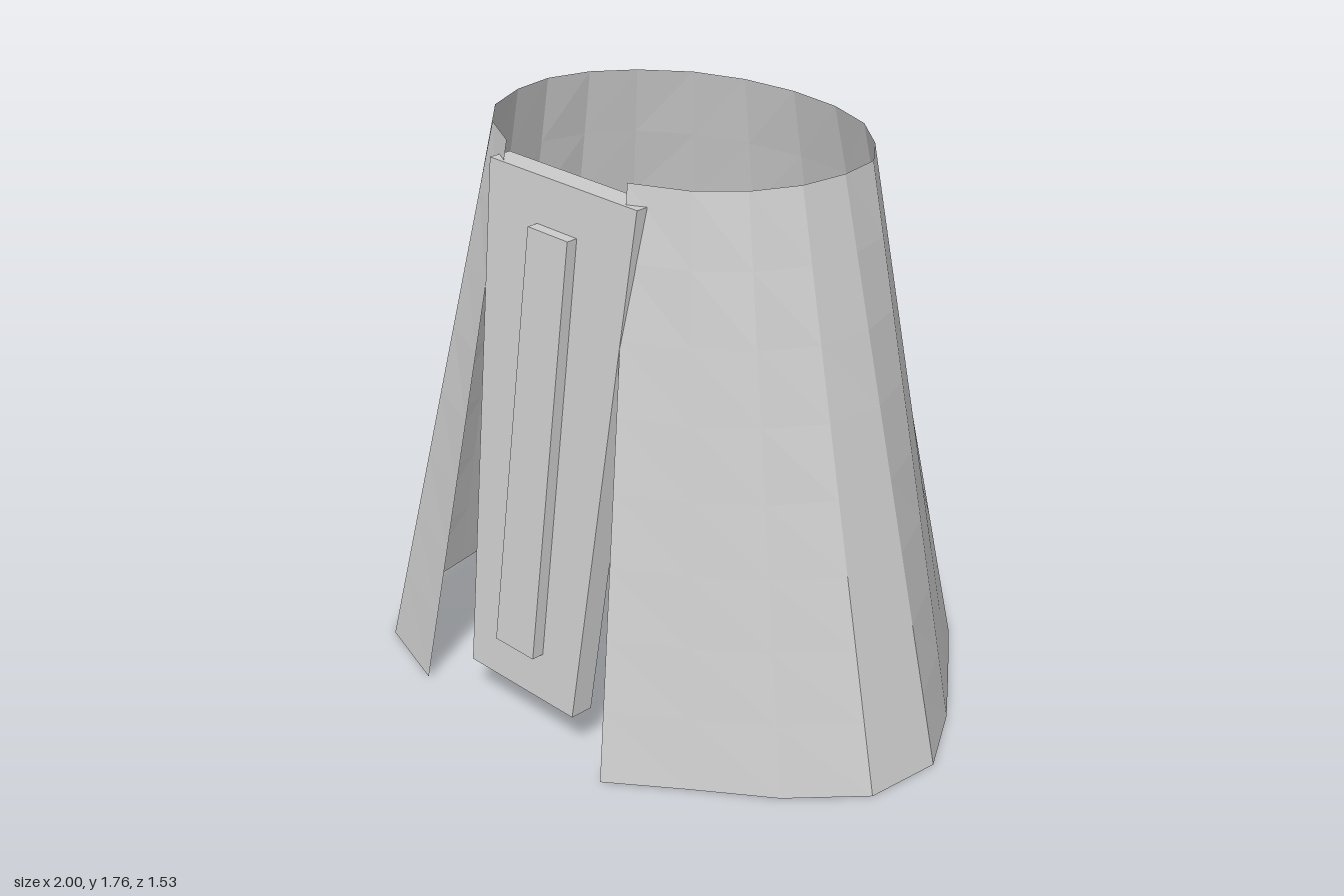
import * as THREE from 'three';

const HEIGHT = 1.76;
const ROWS = 8;

// Outline of the skirt from the left edge of the front opening, round the back, to the right edge: [x, z]
const HEM = [
  [0.37, 0.76], [0.58, 0.6], [0.8, 0.44], [0.98, 0.24], [1, -0.01], [0.86, -0.24], [0.7, -0.44],
  [0.54, -0.635], [0.28, -0.77], [-0.03, -0.76], [-0.3, -0.68], [-0.59, -0.605], [-0.86, -0.48],
  [-1, -0.25], [-0.99, 0], [-0.95, 0.21], [-0.9, 0.46], [-0.73, 0.67], [-0.44, 0.76],
];
const WAIST = [
  [0.22, 0.48], [0.39, 0.4], [0.5, 0.29], [0.57, 0.15], [0.59, 0], [0.57, -0.14], [0.47, -0.26],
  [0.33, -0.37], [0.16, -0.43], [-0.03, -0.45], [-0.22, -0.43], [-0.39, -0.37], [-0.53, -0.26],
  [-0.62, -0.14], [-0.66, 0], [-0.64, 0.14], [-0.57, 0.29], [-0.45, 0.4], [-0.29, 0.48],
];

// Open sheet lofted between hem and waist
function skirtGeometry() {
  const positions = [], index = [], n = HEM.length;
  for (let r = 0; r <= ROWS; r++) {
    const t = r / ROWS;
    for (let i = 0; i < n; i++) {
      positions.push(
        THREE.MathUtils.lerp(HEM[i][0], WAIST[i][0], t),
        HEIGHT * t,
        THREE.MathUtils.lerp(HEM[i][1], WAIST[i][1], t));
    }
  }
  for (let r = 0; r < ROWS; r++) {
    for (let i = 0; i < n - 1; i++) {
      const a = r * n + i, b = a + 1, c = a + n, d = c + 1;
      index.push(a, c, b, b, c, d);
    }
  }
  const indexed = new THREE.BufferGeometry();
  indexed.setAttribute('position', new THREE.Float32BufferAttribute(positions, 3));
  indexed.setIndex(index);
  const g = indexed.toNonIndexed();
  g.computeVertexNormals();
  return g;
}

// Leaning, tapered slab; each end gives y, x range, and front z
function slabGeometry(bottom, top, depth) {
  const g = new THREE.BoxGeometry(1, 1, 1);
  const p = g.attributes.position;
  for (let i = 0; i < p.count; i++) {
    const end = p.getY(i) > 0 ? top : bottom;
    p.setXYZ(i,
      p.getX(i) > 0 ? end.x[1] : end.x[0],
      end.y,
      p.getZ(i) > 0 ? end.z : end.z - depth);
  }
  g.computeVertexNormals();
  return g;
}

export function createModel() {
  const model = new THREE.Group();
  model.name = 'skirt';
  const cloth = new THREE.MeshStandardMaterial({ color: 0xcccccc, side: THREE.DoubleSide, flatShading: true });
  cloth.name = 'light grey cloth';

  const add = (name, geometry) => {
    const mesh = new THREE.Mesh(geometry, cloth);
    mesh.name = name;
    model.add(mesh);
  };

  add('skirtShell', skirtGeometry());

  // Hanging panel over the front opening
  add('frontPanel', slabGeometry(
    { y: 0.125, x: [-0.265, 0.2], z: 0.715 },
    { y: 1.7, x: [-0.345, 0.28], z: 0.5 }, 0.075));

  // Raised strip down the middle of the panel
  add('panelStrip', slabGeometry(
    { y: 0.27, x: [-0.12, 0.05], z: 0.735 },
    { y: 1.56, x: [-0.12, 0.05], z: 0.555 }, 0.05));

  return model;
}
